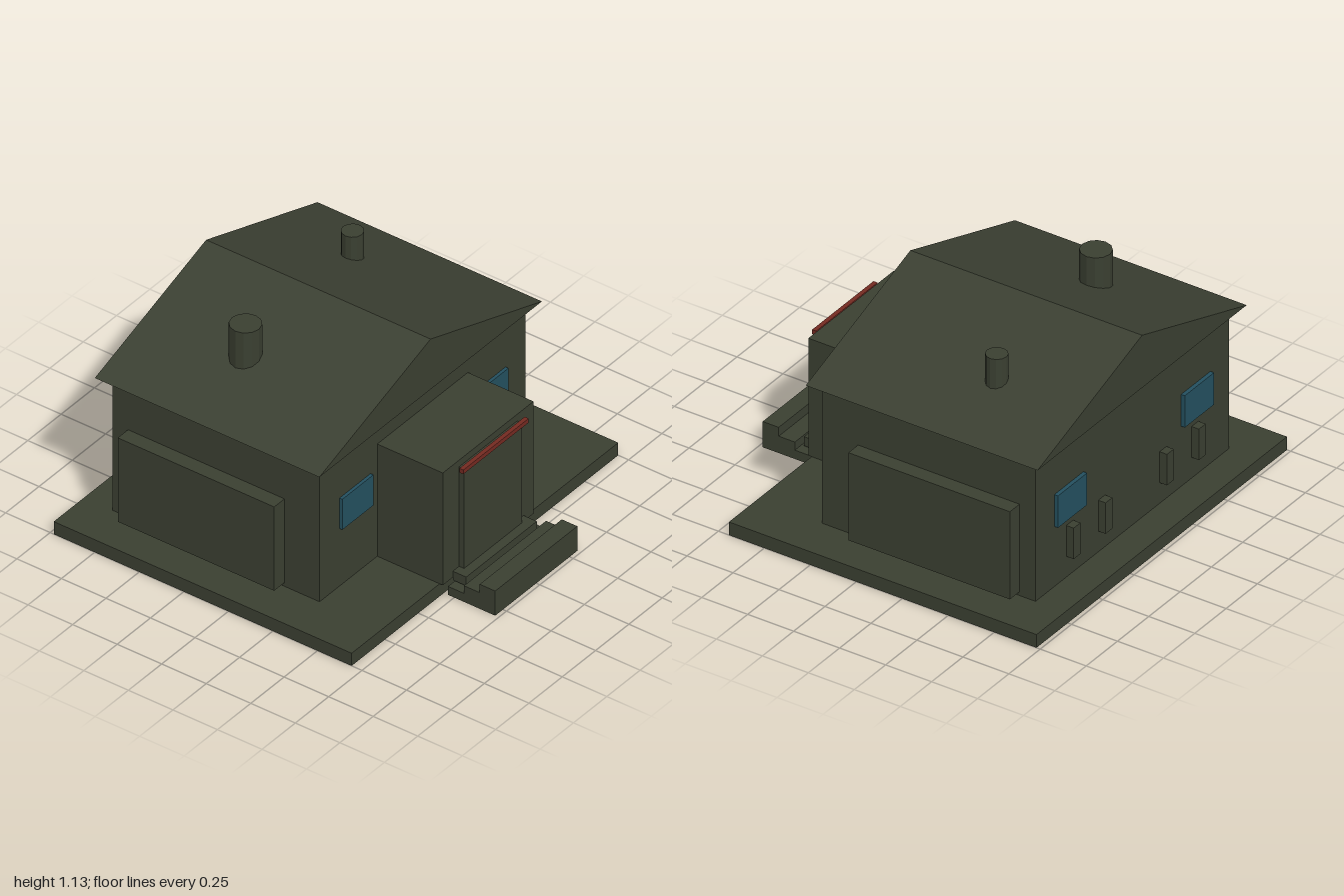
import * as THREE from 'three';

const material = (name, color) => {
  const m = new THREE.MeshStandardMaterial({ color, flatShading: true });
  m.name = name;
  return m;
};

export function createModel() {
  const house = new THREE.Group();
  house.name = 'house';
  const olive = material('dark olive', 0x3a3f31);
  const glass = material('window blue', 0x24505f);
  const red = material('trim red', 0x742a21);

  const add = (name, geometry, mat) => {
    const mesh = new THREE.Mesh(geometry, mat);
    mesh.name = name;
    house.add(mesh);
    return mesh;
  };
  // Box given by its limits on each axis
  const box = (name, [x0, x1], [y0, y1], [z0, z1], mat = olive) => {
    const mesh = add(name, new THREE.BoxGeometry(x1 - x0, y1 - y0, z1 - z0), mat);
    mesh.position.set((x0 + x1) / 2, (y0 + y1) / 2, (z0 + z1) / 2);
    return mesh;
  };

  // Ground slab and walls
  box('baseSlab', [-1, 1], [0, 0.07], [-0.98, 0.692]);
  box('walls', [-0.773, 0.773], [0.07, 0.82], [-0.82, 0.342]);

  // Gabled roof
  const gable = new THREE.Shape([
    new THREE.Vector2(-0.835, 0.82),
    new THREE.Vector2(0.835, 0.82),
    new THREE.Vector2(0, 1.1),
  ]);
  const roof = new THREE.ExtrudeGeometry(gable, { depth: 1.26, bevelEnabled: false });
  add('roof', roof, olive).position.z = -0.873;
  box('eavesTrim', [-0.7, 0.7], [0.802, 0.82], [0.342, 0.348], red);

  // Chimneys: x, z, radius, top
  for (const [name, x, z, r, top] of [
    ['largeChimney', -0.437, -0.325, 0.076, 1.132],
    ['smallChimney', 0.47, -0.403, 0.053, 1.083],
  ]) {
    const height = top - 0.86;
    add(name, new THREE.CylinderGeometry(r, r, height, 12), olive)
      .position.set(x, top - height / 2, z);
  }

  // Entrance porch, door and lintel
  box('porch', [-0.34, 0.34], [0.07, 0.695], [0.342, 0.71]);
  box('door', [-0.218, 0.218], [0.1, 0.658], [0.71, 0.738]);
  box('doorLintel', [-0.245, 0.245], [0.652, 0.675], [0.732, 0.754], red);

  // Threshold and stepped block before the door
  box('threshold', [-0.265, 0.265], [0.055, 0.104], [0.71, 0.785]);
  const steps = new THREE.Shape([
    [0.715, 0], [0.98, 0], [0.98, 0.137], [0.893, 0.137],
    [0.893, 0.09], [0.805, 0.09], [0.805, 0.047], [0.715, 0.047],
  ].map(([z, y]) => new THREE.Vector2(-z, y)));
  const stepMesh = add('steps',
    new THREE.ExtrudeGeometry(steps, { depth: 0.616, bevelEnabled: false }), olive);
  stepMesh.rotation.y = Math.PI / 2;
  stepMesh.position.x = -0.308;

  // Parts mirrored left and right
  for (const [side, s] of [['left', 1], ['right', -1]]) {
    const span = (a, b) => (s > 0 ? [a, b] : [-b, -a]);
    box(side + 'SidePanel', span(0.773, 0.85), [0.09, 0.557], [-0.733, 0.145]);
    box(side + 'FrontWindow', span(0.39, 0.623), [0.39, 0.56], [0.342, 0.358], glass);
    box(side + 'BackWindow', span(0.39, 0.623), [0.39, 0.56], [-0.84, -0.82], glass);
    for (const x of [0.245, 0.5]) {
      box(side + 'BackPost', span(x - 0.027, x + 0.027), [0.18, 0.345], [-0.86, -0.82]);
    }
  }
  return house;
}
